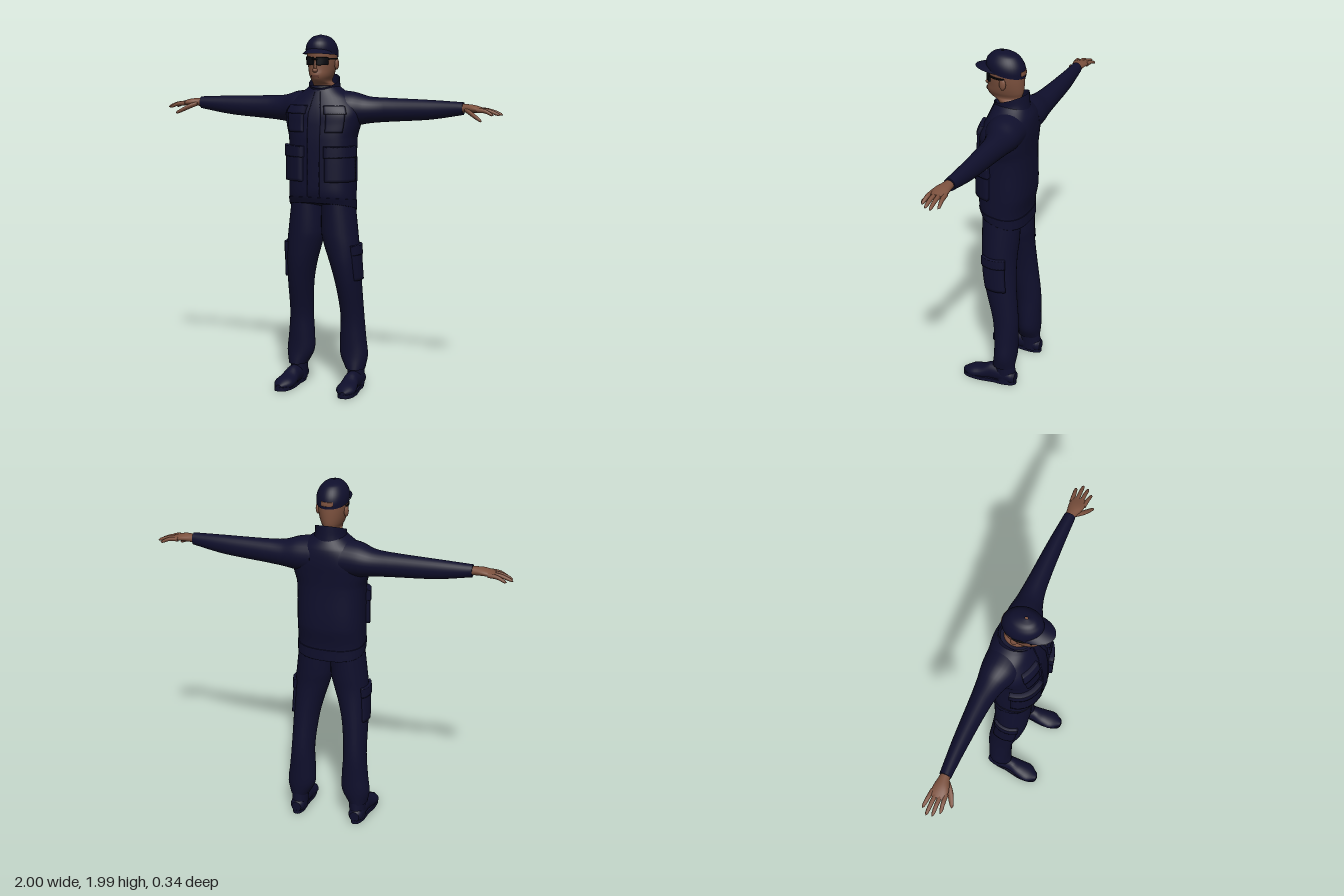
import * as THREE from 'three';

const navy = new THREE.MeshStandardMaterial({ color: 0x0f0f2c, side: THREE.DoubleSide });
navy.name = 'navyCloth';
const skin = new THREE.MeshStandardMaterial({ color: 0x7c513e });
skin.name = 'skin';
const lip = new THREE.MeshStandardMaterial({ color: 0x643c30 });
lip.name = 'lips';
const black = new THREE.MeshStandardMaterial({ color: 0x08080e });
black.name = 'glassesBlack';

// A section is [t, c1, c2, r1, r2, squareness, tilt]; t runs along the axis.
const full = ([t, c1, c2, r1, r2, square = 2, tilt = 0]) => [t, c1, c2, r1, r2, square, tilt];
const centred = (rows) => rows.map(([y, ...rest]) => [y, 0, ...rest]);

// Smooth (Hermite) section at position t
function sectionAt(rows, t) {
  let i = 0;
  while (i < rows.length - 2 && t > rows[i + 1][0]) i++;
  const a = rows[i], b = rows[i + 1], p = rows[Math.max(i - 1, 0)], q = rows[Math.min(i + 2, rows.length - 1)];
  const h = b[0] - a[0], u = (t - a[0]) / h;
  return a.map((v, k) => {
    if (k === 0) return t;
    const m0 = (b[k] - p[k]) / (b[0] - p[0]) * h, m1 = (q[k] - v) / (q[0] - a[0]) * h;
    return (2 * u ** 3 - 3 * u * u + 1) * v + (u ** 3 - 2 * u * u + u) * m0
      + (3 * u * u - 2 * u ** 3) * b[k] + (u ** 3 - u * u) * m1;
  });
}

const power = (v, e) => Math.sign(v) * Math.abs(v) ** e;

function pointOn([t, c1, c2, r1, r2, n, tilt], angle, axis, grow = 0) {
  const c = power(Math.cos(angle), 2 / n), s = power(Math.sin(angle), 2 / n);
  if (axis === 'y') return [c1 + (r1 + grow) * c, t + tilt * s, c2 + (r2 + grow) * s];
  const u = c1 + r1 * s, v = c2 + r2 * c;
  return axis === 'x' ? [t, u, v] : [u, v, t];
}

function makeMesh(name, pos, index, material) {
  const g = new THREE.BufferGeometry();
  g.setAttribute('position', new THREE.Float32BufferAttribute(pos, 3));
  g.setIndex(index);
  g.computeVertexNormals();
  const mesh = new THREE.Mesh(g, material);
  mesh.name = name;
  return mesh;
}

// Closed or open body through the sections
function loft(name, sections, material, { axis = 'y', n = 28, sub = 4, caps = true } = {}) {
  const rows = sections.map(full), pos = [], index = [], ts = [];
  for (let i = 0; i < rows.length - 1; i++)
    for (let k = 0; k < sub; k++) ts.push(rows[i][0] + (rows[i + 1][0] - rows[i][0]) * k / sub);
  ts.push(rows.at(-1)[0]);
  const ring = (row) => { for (let j = 0; j < n; j++) pos.push(...pointOn(row, j / n * 2 * Math.PI, axis)); };
  ts.forEach((t, i) => {
    ring(sectionAt(rows, t));
    if (i === 0) return;
    for (let j = 0; j < n; j++) {
      const a = (i - 1) * n + j, b = (i - 1) * n + (j + 1) % n;
      index.push(a, a + n, b, b, a + n, b + n);
    }
  });
  if (caps) for (const end of [0, 1]) {
    const base = pos.length / 3;
    ring(end ? rows.at(-1) : rows[0]);
    for (let j = 1; j < n - 1; j++)
      index.push(base, ...(end ? [base + j + 1, base + j] : [base + j, base + j + 1]));
  }
  return makeMesh(name, pos, index, material);
}

// Raised panel lying on an upright body, angles in degrees (90 = front)
function panel(name, sections, [t0, t1], [a0, a1], rise, material = navy, m = 10) {
  const rows = sections.map(full), pos = [], index = [], w = m + 3;
  const at = (i) => Math.min(Math.max(i - 1, 0), m) / m;
  for (let i = 0; i < w; i++) for (let j = 0; j < w; j++) {
    const edge = i === 0 || j === 0 || i === w - 1 || j === w - 1;
    const row = sectionAt(rows, t0 + (t1 - t0) * at(i));
    pos.push(...pointOn(row, THREE.MathUtils.degToRad(a0 + (a1 - a0) * at(j)), 'y', edge ? -0.004 : rise));
    if (i && j) {
      const d = i * w + j, c = d - 1, b = d - w;
      index.push(b - 1, c, b, b, c, d);
    }
  }
  return makeMesh(name, pos, index, material);
}

function ball(name, [x, y, z], [sx, sy, sz], material) {
  const mesh = new THREE.Mesh(new THREE.SphereGeometry(1, 18, 12).scale(sx, sy, sz).translate(x, y, z), material);
  mesh.name = name;
  return mesh;
}

// Right-hand copy with corners reordered
function mirrored(mesh) {
  const g = mesh.geometry.clone().scale(-1, 1, 1), idx = [...g.index.array];
  for (let i = 0; i < idx.length; i += 3) [idx[i], idx[i + 1]] = [idx[i + 1], idx[i]];
  g.setIndex(idx);
  const copy = new THREE.Mesh(g, mesh.material);
  copy.name = mesh.name.replace('left', 'right');
  return copy;
}

const TORSO = centred([
  [1.035, -0.02, 0.186, 0.125, 2.5, 0.035], [1.1, -0.012, 0.188, 0.134, 2.5, 0.015],
  [1.2, -0.02, 0.188, 0.144, 2.5], [1.42, -0.018, 0.19, 0.14, 2.5], [1.5, -0.024, 0.21, 0.138, 2.4],
  [1.57, -0.03, 0.215, 0.136, 2.3], [1.64, -0.042, 0.175, 0.118], [1.685, -0.04, 0.11, 0.098],
  [1.71, -0.035, 0.078, 0.085]]);

const HEAD = centred([
  [1.66, -0.035, 0.062, 0.07], [1.715, -0.03, 0.058, 0.072], [1.735, -0.002, 0.047, 0.09],
  [1.765, 0.002, 0.06, 0.103], [1.8, -0.003, 0.07, 0.102], [1.85, -0.004, 0.078, 0.102],
  [1.9, -0.002, 0.078, 0.1], [1.94, 0, 0.06, 0.08]]);

const CAP = centred([
  [1.875, -0.002, 0.085, 0.109, 2, 0.02], [1.905, -0.001, 0.086, 0.109, 2, 0.015],
  [1.935, 0.002, 0.078, 0.1, 2, 0.008], [1.962, 0.008, 0.06, 0.078],
  [1.978, 0.015, 0.038, 0.048], [1.986, 0.018, 0.006, 0.008]]);

const LEG = [
  [0.115, 0.176, -0.072, 0.054, 0.066], [0.19, 0.164, -0.08, 0.08, 0.066], [0.28, 0.158, -0.08, 0.076, 0.068],
  [0.42, 0.155, -0.074, 0.066, 0.075], [0.6, 0.145, -0.042, 0.072, 0.09], [0.72, 0.13, -0.025, 0.084, 0.097],
  [0.82, 0.113, -0.018, 0.098, 0.1], [0.9, 0.1, -0.018, 0.103, 0.105], [1.09, 0.09, -0.02, 0.09, 0.11]];

// Curved peak of the cap
function capPeak() {
  const pos = [], index = [], n = 24, m = 5;
  for (let i = 0; i <= n; i++) for (let k = 0; k <= m; k++) {
    const a = Math.PI * i / n, v = k / m, s = Math.sin(a);
    pos.push((0.083 + 0.006 * v * s) * Math.cos(a), 1.878 + (0.038 - 0.028 * v) * s, 0.02 + (0.078 + 0.074 * v) * s);
    if (i && k) {
      const d = i * (m + 1) + k, c = d - 1, b = d - m - 1;
      index.push(b - 1, c, b, b, c, d);
    }
  }
  return makeMesh('capPeak', pos, index, navy);
}

// Shoe sole: a disc drawn out, narrowed at the instep and turned slightly outwards
function sole() {
  const g = new THREE.CylinderGeometry(1, 1, 0.022, 40), p = g.attributes.position;
  for (let i = 0; i < p.count; i++) {
    const x = power(p.getX(i), 0.75), z = power(p.getZ(i), 0.75);
    const width = 0.048 + 0.009 * z - 0.008 * Math.exp(-(((z + 0.2) / 0.3) ** 2));
    p.setXYZ(i, 0.185 + 0.008 * z + width * x, p.getY(i) + 0.011, 0.012 + 0.163 * z);
  }
  g.computeVertexNormals();
  const mesh = new THREE.Mesh(g, navy);
  mesh.name = 'leftSole';
  return mesh;
}

export function createModel() {
  const model = new THREE.Group();
  model.name = 'standingGuard';
  const pair = (part) => model.add(part, mirrored(part));

  // Jacket, collar and front closure
  model.add(loft('jacket', TORSO, navy, { n: 48, sub: 5 }));
  model.add(panel('frontPlacket', TORSO, [1.09, 1.68], [83, 97], 0.006));
  model.add(panel('jacketHem', TORSO, [1.037, 1.085], [-180, 180], 0.004, navy, 40));
  const collar = centred([[1.66, -0.04, 0.102, 0.1], [1.7, -0.038, 0.086, 0.096, 2, -0.015],
    [1.735, -0.034, 0.084, 0.097, 2, -0.037]]);
  model.add(loft('collar', collar, navy, { caps: false }));

  // Jacket pockets with flaps
  pair(panel('leftChestPocket', TORSO, [1.46, 1.59], [46, 76], 0.013));
  pair(panel('leftChestFlap', TORSO, [1.56, 1.605], [44, 78], 0.019));
  pair(panel('leftHipPocket', TORSO, [1.19, 1.36], [8, 75], 0.02));
  pair(panel('leftHipFlap', TORSO, [1.325, 1.385], [6, 77], 0.025));

  // Head, nose, mouth and ears
  model.add(loft('headAndNeck', HEAD, skin, { n: 32 }));
  model.add(ball('nose', [0, 1.795, 0.098], [0.015, 0.012, 0.02], skin));
  model.add(ball('noseBridge', [0, 1.818, 0.095], [0.009, 0.03, 0.012], skin));
  model.add(panel('lips', HEAD, [1.757, 1.771], [70, 110], 0.004, lip));
  pair(ball('leftEar', [0.079, 1.828, -0.018], [0.012, 0.031, 0.019], skin));

  // Cap and sunglasses
  model.add(loft('cap', CAP, navy, { n: 36, caps: false }), capPeak());
  model.add(panel('capBackOpening', CAP, [1.888, 1.908], [-112, -68], 0.002, skin));
  model.add(panel('glassesBridge', HEAD, [1.852, 1.862], [80, 100], 0.008, black));
  pair(panel('leftLens', HEAD, [1.823, 1.868], [40, 84], 0.008, black));
  pair(panel('leftGlassesArm', HEAD, [1.852, 1.861], [-12, 42], 0.006, black));

  // Sleeves
  pair(loft('leftSleeve', [[0.08, 1.585, -0.055, 0.1, 0.105], [0.17, 1.582, -0.06, 0.093, 0.098],
    [0.25, 1.578, -0.073, 0.074, 0.074], [0.35, 1.58, -0.08, 0.066, 0.058],
    [0.6, 1.586, -0.081, 0.053, 0.042], [0.785, 1.597, -0.075, 0.034, 0.031]], navy, { axis: 'x', sub: 6 }));

  // Palms, thumbs and fingers
  pair(loft('leftPalm', [[0.76, 1.597, -0.075, 0.026, 0.025], [0.8, 1.599, -0.073, 0.023, 0.029],
    [0.85, 1.597, -0.067, 0.02, 0.042], [0.905, 1.59, -0.067, 0.01, 0.043]], skin, { axis: 'x', n: 18 }));
  pair(loft('leftThumb', [[0.8, 1.592, -0.056, 0.012, 0.014], [0.84, 1.575, -0.025, 0.014, 0.018],
    [0.9, 1.542, 0.009, 0.009, 0.01], [0.91, 1.538, 0.012, 0.001, 0.001]], skin, { axis: 'x', n: 12 }));
  [0.965, 0.992, 1, 0.972].forEach((tip, i) => {
    const z0 = -0.031 - 0.0235 * i, z1 = -0.022 - 0.0303 * i;
    pair(loft('leftFinger' + (i + 1), [[0.87, 1.592, z0, 0.013, 0.012],
      [(0.87 + tip) / 2, 1.588, (z0 + z1) / 2, 0.011, 0.011],
      [tip - 0.012, 1.572, z1, 0.008, 0.008], [tip, 1.568, z1, 0.001, 0.001]], skin, { axis: 'x', n: 12 }));
  });

  // Trouser legs with thigh pockets
  pair(loft('leftTrouserLeg', LEG, navy, { n: 32 }));
  pair(panel('leftThighPocket', LEG, [0.635, 0.81], [-38, 38], 0.012));
  pair(panel('leftThighFlap', LEG, [0.78, 0.835], [-40, 40], 0.016));

  // Boots
  pair(loft('leftBootShaft', [[0.02, 0.177, -0.085, 0.044, 0.062], [0.17, 0.172, -0.076, 0.048, 0.06]], navy));
  pair(loft('leftBootFoot', [[-0.148, 0.177, 0.045, 0.028, 0.03], [-0.125, 0.177, 0.05, 0.042, 0.042],
    [0, 0.18, 0.056, 0.043, 0.054], [0.06, 0.184, 0.04, 0.052, 0.04],
    [0.12, 0.188, 0.032, 0.054, 0.032], [0.173, 0.193, 0.025, 0.015, 0.012]], navy, { axis: 'z' }));
  pair(sole());
  return model;
}
